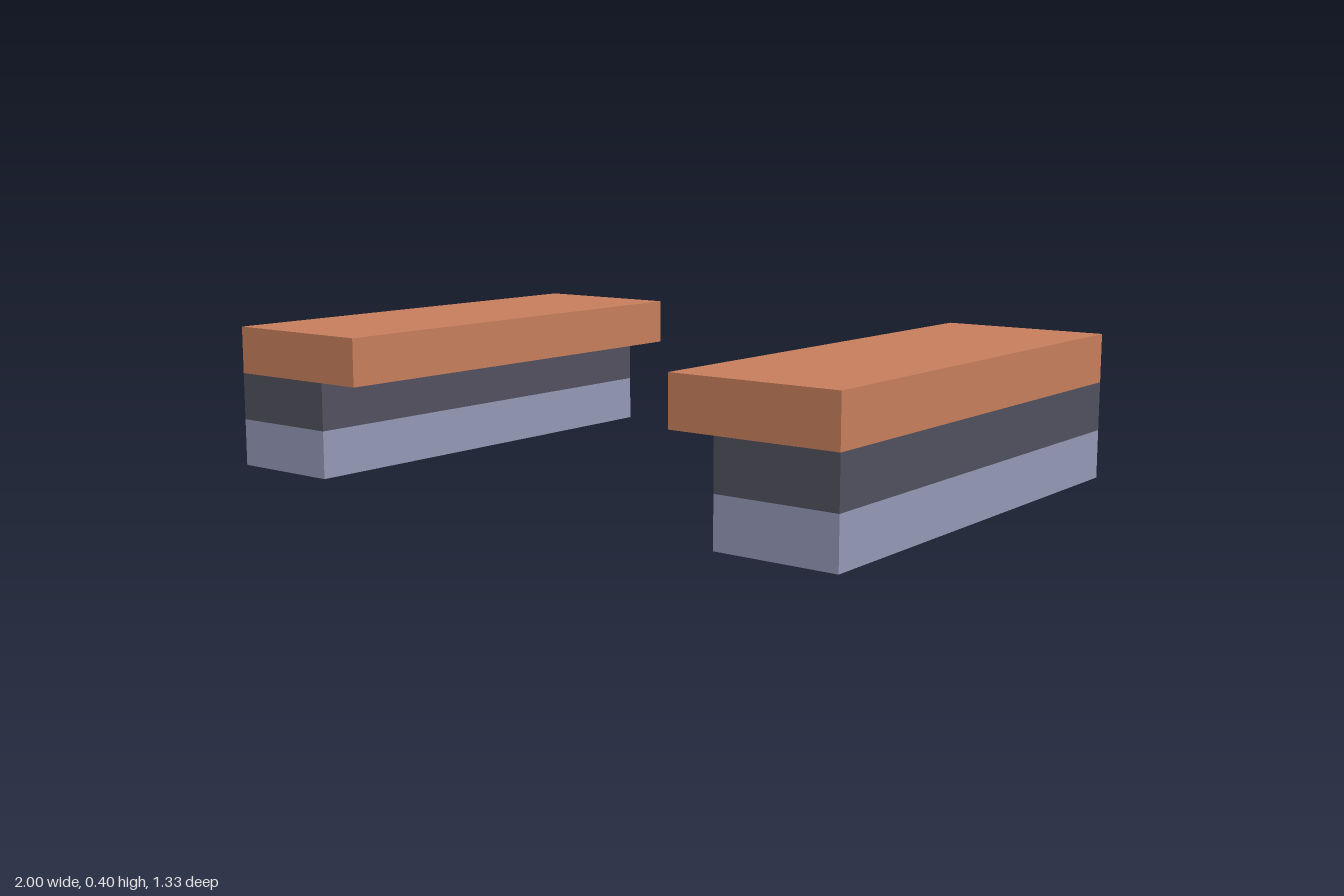
import * as THREE from 'three';

export function createModel() {
  const model = new THREE.Group();
  model.name = 'platformEdges';

  const paint = (name, color) => {
    const material = new THREE.MeshStandardMaterial({ color });
    material.name = name;
    return material;
  };
  const terracotta = paint('terracotta', 0xc57d5b);
  const charcoal = paint('charcoal', 0x504f5d);
  const blueGrey = paint('blueGrey', 0x9297b4);

  const depth = 1.333;
  const layerHeight = 0.4 / 3;

  // Layers from the ground up; each is flush with the outer side
  const layers = [
    { name: 'base', width: 0.335, material: blueGrey },
    { name: 'wall', width: 0.335, material: charcoal },
    { name: 'overhangingSlab', width: 0.465, material: terracotta },
  ];

  // One stacked ledge on each side
  for (const [sideName, side] of [['left', 1], ['right', -1]]) {
    const ledge = new THREE.Group();
    ledge.name = `${sideName}Ledge`;
    layers.forEach(({ name, width, material }, i) => {
      const layer = new THREE.Mesh(new THREE.BoxGeometry(width, layerHeight, depth), material);
      layer.name = name;
      layer.position.set(side * (1 - width / 2), (i + 0.5) * layerHeight, 0);
      ledge.add(layer);
    });
    model.add(ledge);
  }

  return model;
}
